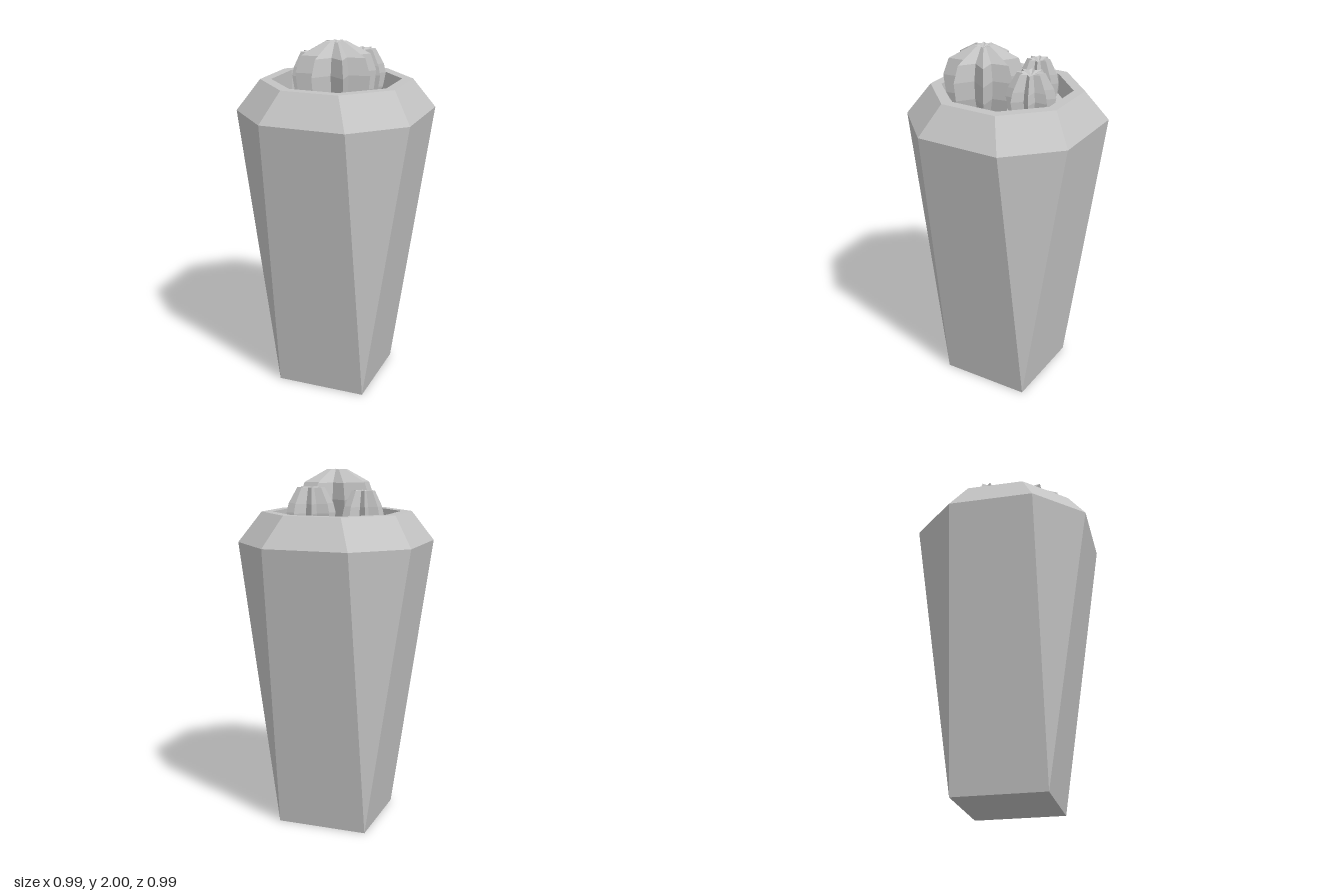
import * as THREE from 'three';

// Skin a stack of equal-length rings with flat faces, skipping collapsed triangles.
function loft(rings) {
  const pos = [];
  const tri = new THREE.Triangle();
  const add = (a, b, c) => {
    tri.set(a, b, c);
    if (tri.getArea() > 1e-9) pos.push(...a.toArray(), ...b.toArray(), ...c.toArray());
  };
  for (let j = 0; j < rings.length - 1; j++) {
    const lo = rings[j], hi = rings[j + 1], n = lo.length;
    for (let i = 0; i < n; i++) {
      const k = (i + 1) % n;
      add(lo[i], hi[i], lo[k]);
      add(lo[k], hi[i], hi[k]);
    }
  }
  const geo = new THREE.BufferGeometry();
  geo.setAttribute('position', new THREE.Float32BufferAttribute(pos, 3));
  geo.computeVertexNormals();
  return geo;
}

// Square of half-width h whose corners are cut so each flat side has half-length c.
function cutSquare(h, c, y) {
  return [[h, -c], [h, c], [c, h], [-c, h], [-h, c], [-h, -c], [-c, -h], [c, -h]]
    .map(([x, z]) => new THREE.Vector3(x, y, z));
}

// Star ring: ridge points at radius r, grooves pulled inward.
function starRing(r, y, ribs, groove) {
  return Array.from({ length: ribs * 2 }, (_, i) => {
    const a = (i * Math.PI) / ribs;
    const d = i % 2 ? r * groove : r;
    return new THREE.Vector3(Math.cos(a) * d, y, Math.sin(a) * d);
  });
}

export function createModel() {
  const model = new THREE.Group();
  const grey = new THREE.MeshStandardMaterial({ color: 0xc4c4c4, flatShading: true });
  grey.name = 'plain grey';

  const addMesh = (name, rings) => {
    const mesh = new THREE.Mesh(loft(rings), grey);
    mesh.name = name;
    model.add(mesh);
    return mesh;
  };

  // Planter: square foot, flaring to an octagon, bevelled shoulder, rim and inner wall
  const soilY = 1.66;
  const pot = addMesh('planter', [
    cutSquare(0, 0, 0),
    cutSquare(0.258, 0.258, 0),
    cutSquare(0.495, 0.237, 1.61),
    cutSquare(0.385, 0.16, 1.775),
    cutSquare(0.33, 0.136, 1.775),
    cutSquare(0.33, 0.136, soilY),
  ]);
  const soil = addMesh('soil', [cutSquare(0.33, 0.136, soilY), cutSquare(0, 0, soilY)]);
  pot.rotation.y = soil.rotation.y = -0.007;

  // Ribbed cacti: profile points are [radius, height], ending in a dimpled crown
  const bigProfile = [[0.15, 1.64], [0.205, 1.74], [0.217, 1.84], [0.185, 1.93], [0.058, 2.0], [0, 1.988]];
  const smallProfile = [[0.08, 1.64], [0.117, 1.7], [0.132, 1.78], [0.12, 1.83], [0.073, 1.915], [0, 1.895]];
  const cacti = [
    { name: 'largeCactus', x: 0.042, z: 0.118, turn: 14.5, profile: bigProfile, wide: 1, drop: 0 },
    { name: 'mediumCactus', x: 0.08, z: -0.19, turn: 22.5, profile: smallProfile, wide: 1, drop: 0 },
    { name: 'smallCactus', x: -0.182, z: -0.09, turn: 22.5, profile: smallProfile, wide: 0.85, drop: 0.018 },
  ];
  for (const c of cacti) {
    const rings = c.profile.map(([r, y]) => starRing(r * c.wide, y - c.drop, 8, 0.57));
    const cactus = addMesh(c.name, rings);
    cactus.position.set(c.x, 0, c.z);
    cactus.rotation.y = -THREE.MathUtils.degToRad(c.turn);
  }
  return model;
}
